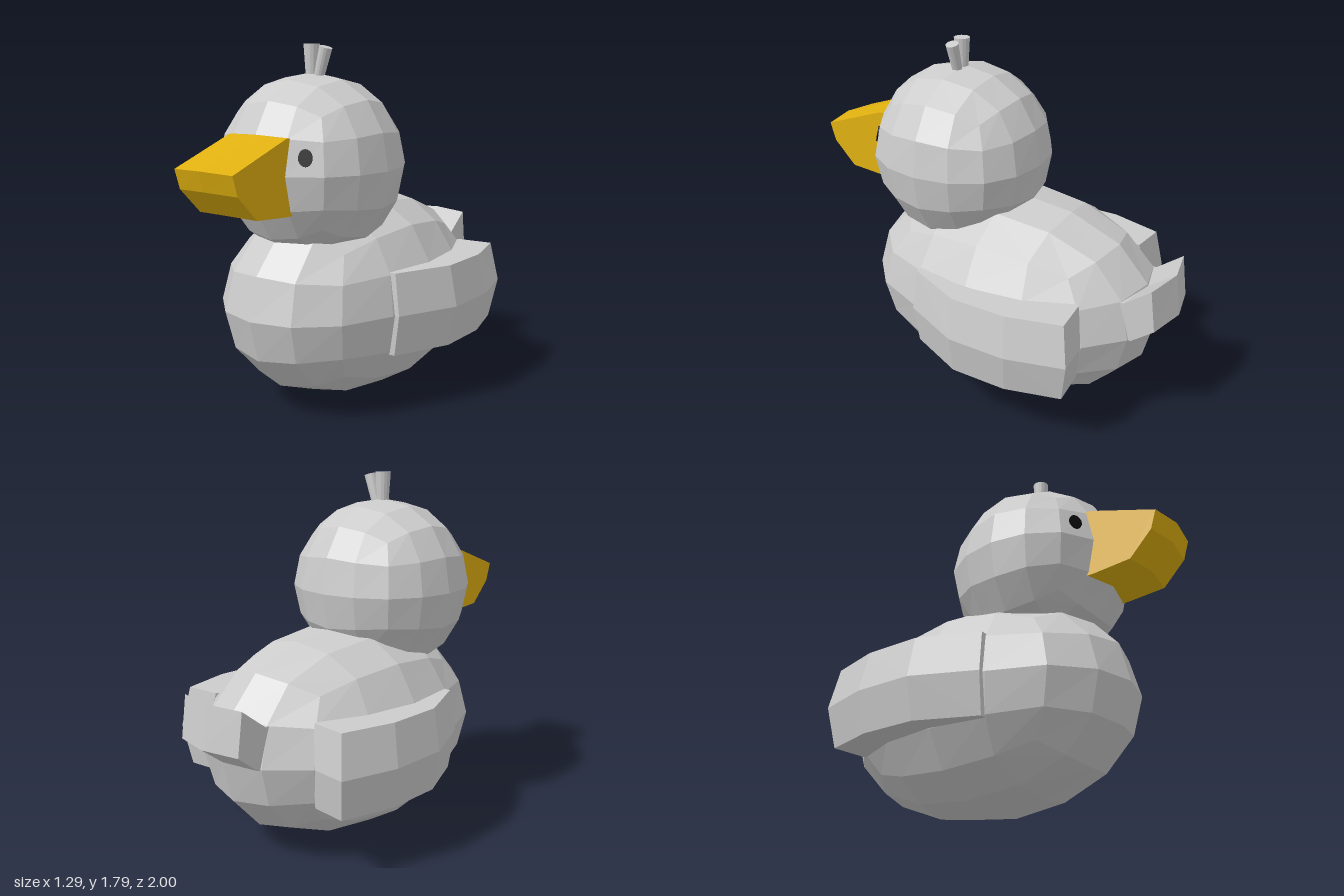
import * as THREE from 'three';

const material = (color) => new THREE.MeshStandardMaterial({ color, flatShading: true });
const grey = material(0xcccccc);
const yellow = material(0xe0b010);
const black = material(0x0a0a0a);

function part(name, geometry, mat = grey) {
  const mesh = new THREE.Mesh(geometry, mat);
  mesh.name = name;
  return mesh;
}

// Twice-subdivided cube: each grid point is placed by its sorted grid
// coordinates; the pair gives the new values for coordinates 1 and 2.
const SMOOTH = {
  '200': [0, 1], '210': [0.399, 0.933], '220': [0, 0.732],
  '211': [0.371, 0.87], '221': [0.344, 0.682], '222': [0, 0.58],
};
function roundedCube(rx, ry, rz) {
  const geometry = new THREE.BoxGeometry(4, 4, 4, 4, 4, 4);
  const pos = geometry.attributes.position;
  for (let i = 0; i < pos.count; i++) {
    const p = [pos.getX(i), pos.getY(i), pos.getZ(i)].map(Math.round);
    const rule = SMOOTH[p.map(Math.abs).sort().reverse().join('')];
    const [x, y, z] = p.map((c) => (c === 0 ? 0 : Math.sign(c) * rule[Math.abs(c) - 1]));
    pos.setXYZ(i, x * rx, y * ry, z * rz);
  }
  geometry.computeVertexNormals();
  return geometry;
}

// Extruded profile with a middle row; both ends are scaled so the slab bows.
function bowedSlab(points, width, sx, sy) {
  const shape = new THREE.Shape(points.map(([x, y]) => new THREE.Vector2(x, y)));
  const geometry = new THREE.ExtrudeGeometry(shape, { depth: width, steps: 2, bevelEnabled: false });
  geometry.translate(0, 0, -width / 2);
  const pos = geometry.attributes.position;
  for (let i = 0; i < pos.count; i++) {
    if (Math.abs(pos.getZ(i)) > width / 4) pos.setXY(i, pos.getX(i) * sx, pos.getY(i) * sy);
  }
  geometry.computeVertexNormals();
  return geometry;
}

export function createModel() {
  const model = new THREE.Group();
  model.name = 'duck';

  // Body and head
  const body = part('body', roundedCube(0.52, 0.52, 0.793));
  body.position.set(0, 0.53, -0.088);
  const head = part('head', roundedCube(0.445, 0.445, 0.445));
  head.position.set(0, 1.222, 0.225);
  model.add(body, head);

  // Beak, profile in (z, y)
  const beakProfile = [[0.5, 1.045], [0.65, 1.045], [0.85, 1.06], [0.97, 1.18],
    [1.0, 1.275], [0.645, 1.4], [0.5, 1.4]];
  model.add(part('beak', bowedSlab(beakProfile, 0.35, 0.975, 0.994).rotateY(-Math.PI / 2), yellow));

  // Tail, profile in (z, y)
  const tailProfile = [[-0.7, 0.53], [-0.881, 0.53], [-1.0, 0.62], [-0.97, 0.83],
    [-0.828, 0.725], [-0.7, 0.725]];
  model.add(part('tail', bowedSlab(tailProfile, 0.4, 0.955, 0.995).rotateY(-Math.PI / 2)));

  // Wings, profile in (x, z), and eyes
  const wingProfile = [[0.4, 0.215], [0.51, 0.215], [0.645, -0.095], [0.645, -0.4],
    [0.565, -0.685], [0.37, -0.665], [0.3, -0.5]];
  for (const [side, s] of [['left', 1], ['right', -1]]) {
    const profile = wingProfile.map(([x, z]) => [s * x, z]);
    const wing = part(side + 'Wing', bowedSlab(profile, 0.41, 0.94, 0.95).rotateX(Math.PI / 2));
    wing.position.y = 0.53;
    model.add(wing);

    const eye = part(side + 'Eye', new THREE.CylinderGeometry(0.04, 0.04, 0.03, 20).rotateX(Math.PI / 2), black);
    eye.scale.x = 0.8;
    eye.position.set(s * 0.242, 1.305, 0.578);
    eye.lookAt(s * 0.747, 1.505, 1.418);
    model.add(eye);
  }

  // Head feathers
  const feather = part('uprightFeather', new THREE.CylinderGeometry(0.04, 0.029, 0.17, 14));
  feather.position.set(0, 1.717, 0.23);
  const tilted = part('tiltedFeather', new THREE.CylinderGeometry(0.032, 0.024, 0.17, 14));
  tilted.position.set(0.061, 1.706, 0.23);
  tilted.rotation.z = -0.29;
  model.add(feather, tilted);

  return model;
}
